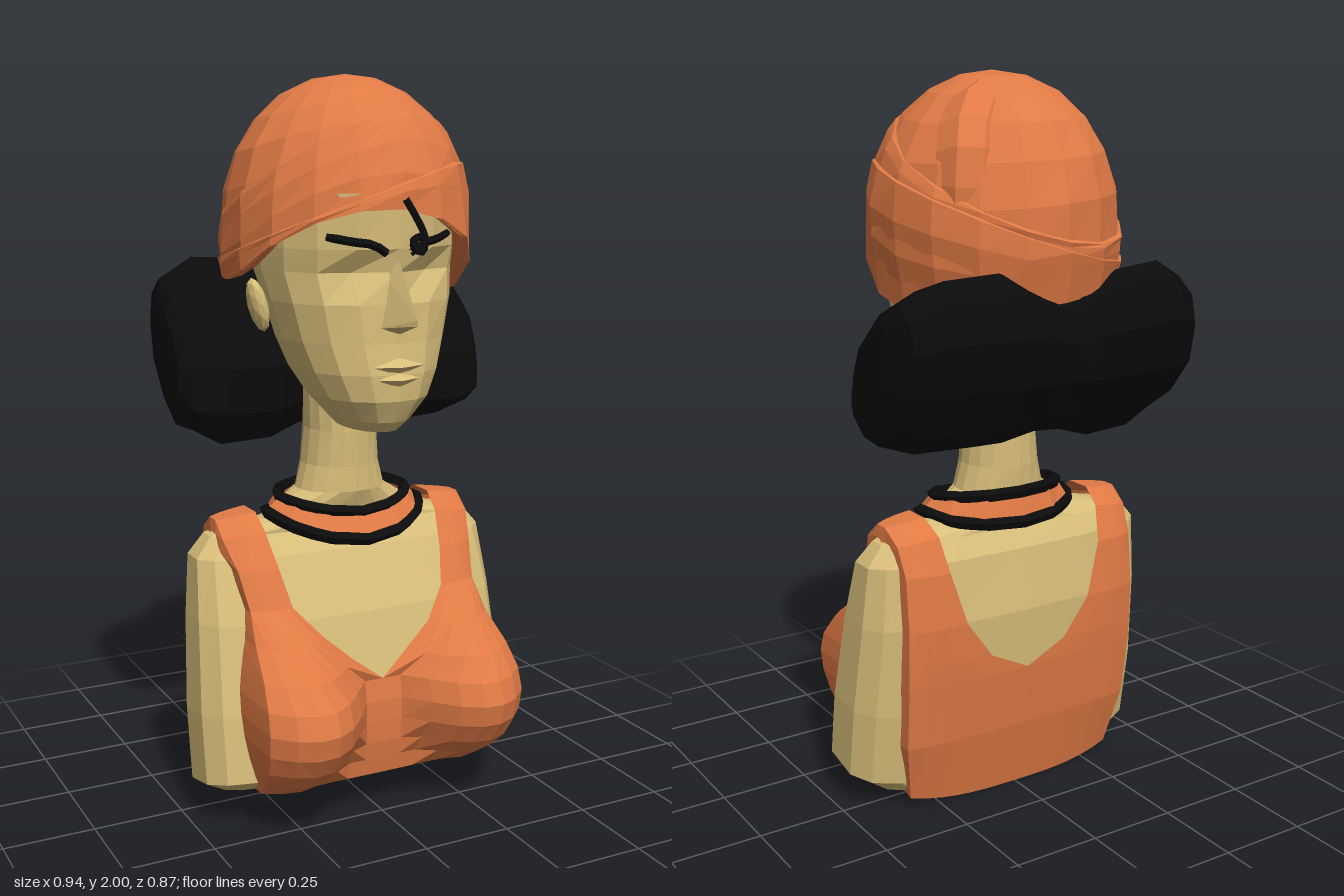
import * as THREE from 'three';
import { ConvexGeometry } from 'three/addons/geometries/ConvexGeometry.js';

const material = (color) => new THREE.MeshStandardMaterial({ color, flatShading: true, side: THREE.DoubleSide });
const V = (x, y, z) => new THREE.Vector3(x, y, z);
const lerp = THREE.MathUtils.lerp;
const spow = (v, p) => Math.sign(v) * Math.abs(v) ** p;
const wobble = (i, j) => { const s = Math.sin(i * 12.99 + j * 78.23) * 43758.5; return s - Math.floor(s) - 0.5; };

// Skin a list of point rings with flat facets
function loft(rings, { closed = true, caps = true, flip = false } = {}) {
  const pos = [];
  const tri = (a, b, c) => (flip ? [a, c, b] : [a, b, c]).forEach((p) => pos.push(p.x, p.y, p.z));
  const n = rings[0].length;
  for (let i = 0; i < rings.length - 1; i++) {
    for (let j = 0; j < (closed ? n : n - 1); j++) {
      const k = (j + 1) % n, a = rings[i], b = rings[i + 1];
      tri(a[j], a[k], b[k]);
      tri(a[j], b[k], b[j]);
    }
  }
  if (closed && caps) {
    for (const [ring, end] of [[rings[0], false], [rings[rings.length - 1], true]]) {
      const c = ring.reduce((s, p) => s.add(p), V(0, 0, 0)).divideScalar(n);
      ring.forEach((p, j) => { const q = ring[(j + 1) % n]; end ? tri(c, p, q) : tri(c, q, p); });
    }
  }
  const g = new THREE.BufferGeometry();
  g.setAttribute('position', new THREE.Float32BufferAttribute(pos, 3));
  g.computeVertexNormals();
  return g;
}

// Ring starting at the front (+z) and turning towards +x
const ring = (n, fn) => Array.from({ length: n }, (_, j) => fn((j / n) * Math.PI * 2, j));
const section = (n, [y, w, zf, zb, tilt = 0], p) => ring(n, (a) => {
  const z = (zf + zb) / 2 + ((zf - zb) / 2) * spow(Math.cos(a), p);
  return V(w * spow(Math.sin(a), p), y + tilt * z, z);
});

export function createModel() {
  const model = new THREE.Group();
  const skin = material(0xd8be7a), cloth = material(0xe07a45), black = material(0x0b0b0b);
  const add = (name, geometry, mat) => {
    const m = new THREE.Mesh(geometry, mat);
    m.name = name;
    model.add(m);
    return m;
  };

  // Torso with cut arms, running up into the neck: y, half width, front z, back z, tilt
  add('torsoAndNeck', loft([
    [0.06, 0.42, 0.23, -0.1, 0.28], [0.095, 0.475, 0.245, -0.11, 0.22], [0.3, 0.475, 0.22, -0.145, 0.1],
    [0.55, 0.46, 0.16, -0.165, 0.03], [0.72, 0.445, 0.085, -0.145], [0.775, 0.4, 0.045, -0.115],
    [0.805, 0.25, 0.06, -0.11], [0.88, 0.13, 0.09, -0.125], [0.95, 0.11, 0.09, -0.13],
    [1.05, 0.1, 0.095, -0.13], [1.2, 0.11, 0.09, -0.1],
  ].map((s, i) => section(18, s, i < 6 ? 0.66 : 1))), skin);

  // Head, with eye sockets pressed in
  const head = [
    [1.08, 0.07, 0.27, 0.02], [1.11, 0.1, 0.3, 0], [1.17, 0.155, 0.33, -0.04], [1.24, 0.195, 0.335, -0.09],
    [1.32, 0.225, 0.325, -0.12], [1.42, 0.25, 0.325, -0.15], [1.5, 0.265, 0.315, -0.2],
    [1.56, 0.27, 0.325, -0.2], [1.7, 0.27, 0.33, -0.2],
  ].map((s) => section(16, s, 0.95));
  head.flat().forEach((p) => {
    if (p.z > 0) p.z -= 0.035 * Math.exp(-(((Math.abs(p.x) - 0.1) / 0.06) ** 2) - ((p.y - 1.49) / 0.05) ** 2);
  });
  add('head', loft(head), skin);

  // Nose, lips and ears
  add('nose', new ConvexGeometry([
    V(0, 1.53, 0.325), V(0.025, 1.5, 0.29), V(-0.025, 1.5, 0.29), V(0, 1.44, 0.365), V(0, 1.39, 0.42),
    V(0, 1.375, 0.42), V(0.05, 1.36, 0.31), V(-0.05, 1.36, 0.31), V(0, 1.345, 0.33),
  ]), skin);
  for (const [name, y, w] of [['upperLip', 1.262, 0.075], ['lowerLip', 1.228, 0.06]]) {
    const lip = add(name, new THREE.OctahedronGeometry(1), skin);
    lip.scale.set(w, 0.022, 0.024);
    lip.position.set(0, y, 0.328);
  }
  for (const s of [1, -1]) {
    const ear = add(s > 0 ? 'leftEar' : 'rightEar', new THREE.IcosahedronGeometry(1, 1), skin);
    ear.scale.set(0.025, 0.075, 0.04);
    ear.position.set(s * 0.255, 1.4, 0.01);
    ear.rotation.z = -s * 0.25;

    // Brow line and lashes
    const brow = new THREE.CatmullRomCurve3([
      V(s * 0.175, 1.592, 0.262), V(s * 0.12, 1.58, 0.3), V(s * 0.07, 1.572, 0.318), V(s * 0.035, 1.55, 0.322)]);
    add(s > 0 ? 'leftBrow' : 'rightBrow', new THREE.TubeGeometry(brow, 6, 0.011, 4), black);
  }

  // Curl of hair on the forehead
  const curl = new THREE.CatmullRomCurve3([
    V(0.005, 1.685, 0.345), V(0.03, 1.64, 0.355), V(0.05, 1.59, 0.365), V(0.03, 1.555, 0.385),
    V(0.005, 1.565, 0.39), V(0.01, 1.595, 0.385), V(0.035, 1.59, 0.375)]);
  add('foreheadCurl', new THREE.TubeGeometry(curl, 14, 0.01, 4), black);

  // Head wrap: dome plus two slanted folds sharing one lower edge
  const edge = (a) => 1.43 + 0.23 * Math.max(0, Math.cos(a)) ** 1.1 - 0.035 * Math.sin(a);
  const wrap = (name, scale, steps, top) => {
    const point = (a, j, y, k, r) => {
      const d = (y - 1.58) / 0.42;
      const q = r * (d > 0 ? Math.max(0, 1 - d ** 2.3) ** 0.5 : 1 - 0.5 * d * d) * (1 + 0.025 * wobble(k, j));
      const front = Math.cos(a) > 0;
      return V(0.008 + 0.332 * q * Math.sin(a), y, (front ? 0.335 : 0.362) * q * Math.cos(a));
    };
    const rings = [ring(18, (a, j) => point(a, j, edge(a) + 0.01, 0, 0.88))];
    for (let k = 0; k <= steps; k++) {
      const t = Math.sin((k / steps) * Math.PI / 2);
      rings.push(ring(18, (a, j) => point(a, j, lerp(edge(a), top(a), t), k, scale)));
    }
    // tucked lip of the fold
    if (scale > 1) rings.push(ring(18, (a, j) => point(a, j, top(a) + 0.015, 9, 0.94)));
    add(name, loft(rings, { caps: false }), cloth);
  };
  wrap('headWrapDome', 1, 7, () => 2);
  wrap('headWrapFrontFold', 1.02, 4, (a) => 1.74 + 0.17 * Math.cos(a - 0.4));
  wrap('headWrapLowerFold', 1.04, 2, (a) => 1.64 + 0.13 * Math.cos(a - 0.9));

  // Shallow raised seam from the crown down the back left
  const seam = new THREE.CatmullRomCurve3([
    V(-0.1, 1.87, -0.02), V(0.04, 1.9, -0.06), V(0.14, 1.86, -0.12), V(0.185, 1.77, -0.17), V(0.19, 1.66, -0.17)]);
  add('headWrapSeam', new THREE.TubeGeometry(seam, 8, 0.09, 8), cloth);

  // Rolled hair behind the neck, lofted along x: x, centre y, centre z, half height, half depth
  const half = [[0.462, 1.26, -0.135, 0.13, 0.08], [0.44, 1.255, -0.17, 0.19, 0.145], [0.34, 1.265, -0.19, 0.24, 0.19],
    [0.18, 1.265, -0.215, 0.24, 0.195], [0.08, 1.255, -0.215, 0.215, 0.16]];
  const roll = [...half.map(([x, ...r]) => [-x, ...r]), [0, 1.25, -0.215, 0.195, 0.14], ...half.slice().reverse()];
  add('hairRoll', loft(roll.map(([x, cy, cz, h, d], i) => ring(11, (a, j) => {
    const q = 1 + 0.12 * wobble(i, j), u = Math.cos(a) * h * q;
    return V(x + 0.03 * wobble(j, i) * (Math.abs(x) < 0.4 ? 1 : 0), cy + u, cz - u * 0.4 + Math.sin(a) * d * q);
  })), { flip: true }), black);

  // Top: each station runs up the front, over the shoulder, down the back: y, z, inner x, outer x
  const stations = [
    [0.11, 0.24, 0, 0.35], [0.16, 0.25, 0, 0.362], [0.21, 0.258, 0, 0.372], [0.27, 0.26, 0, 0.38],
    [0.33, 0.26, 0, 0.383], [0.39, 0.25, 0, 0.38], [0.45, 0.228, 0.08, 0.37], [0.52, 0.2, 0.16, 0.355],
    [0.6, 0.165, 0.23, 0.345], [0.7, 0.12, 0.25, 0.36], [0.79, 0.065, 0.265, 0.38], [0.835, 0.01, 0.27, 0.38],
    [0.835, -0.07, 0.27, 0.38], [0.795, -0.13, 0.26, 0.375], [0.7, -0.165, 0.245, 0.37], [0.55, -0.18, 0.2, 0.37],
    [0.44, -0.177, 0.12, 0.37], [0.38, -0.174, 0, 0.37], [0.2, -0.152, 0, 0.365], [0.0, -0.11, 0, 0.335],
  ];
  for (const s of [1, -1]) {
    const rows = stations.map(([y, z, inner, outer], i) => {
      const row = [], overShoulder = i > 9 && i < 14;
      for (let c = 0; c <= 7; c++) {
        const u = c / 7, x = lerp(inner, outer, u);
        const d = ((x - 0.262) / 0.2) ** 2 + ((y - 0.33) / 0.235) ** 2;
        const bust = i < 10 && d < 1 ? 0.185 * (1 - d) : 0;
        const hem = i === stations.length - 1 ? 0.03 * u ** 3 : 0;
        row.push(V(s * x, y + hem - (overShoulder ? 0.015 * u : 0), z + bust - Math.sign(z) * 0.02 * u ** 3));
      }
      row.push(V(s * (outer + 0.005), y + (overShoulder ? -0.05 : i === stations.length - 1 ? 0.05 : 0), z * 0.45));
      return row;
    });
    add(s > 0 ? 'topLeftHalf' : 'topRightHalf', loft(rows, { closed: false, flip: s < 0 }), cloth);
  }

  // Collar necklace: faceted cloth band between two dark cords
  const collar = (t) => ring(12, (a) => {
    const c = Math.cos(a), front = Math.max(0, c), back = Math.max(0, -c);
    const y = lerp(0.865 - 0.035 * front ** 2 + 0.015 * back, 0.83 - 0.068 * front ** 1.5 - 0.03 * back, t);
    return V(lerp(0.195, 0.235, t) * Math.sin(a), y, c * (c > 0 ? lerp(0.125, 0.165, t) : lerp(0.135, 0.155, t)));
  });
  add('collarBand', loft([collar(1), collar(0)], { caps: false }), cloth);
  [0, 1].forEach((t) => {
    const path = new THREE.CatmullRomCurve3(collar(t), true, 'catmullrom', 0);
    add(t ? 'collarLowerCord' : 'collarUpperCord', new THREE.TubeGeometry(path, 24, 0.017, 4, true), black);
  });

  return model;
}
